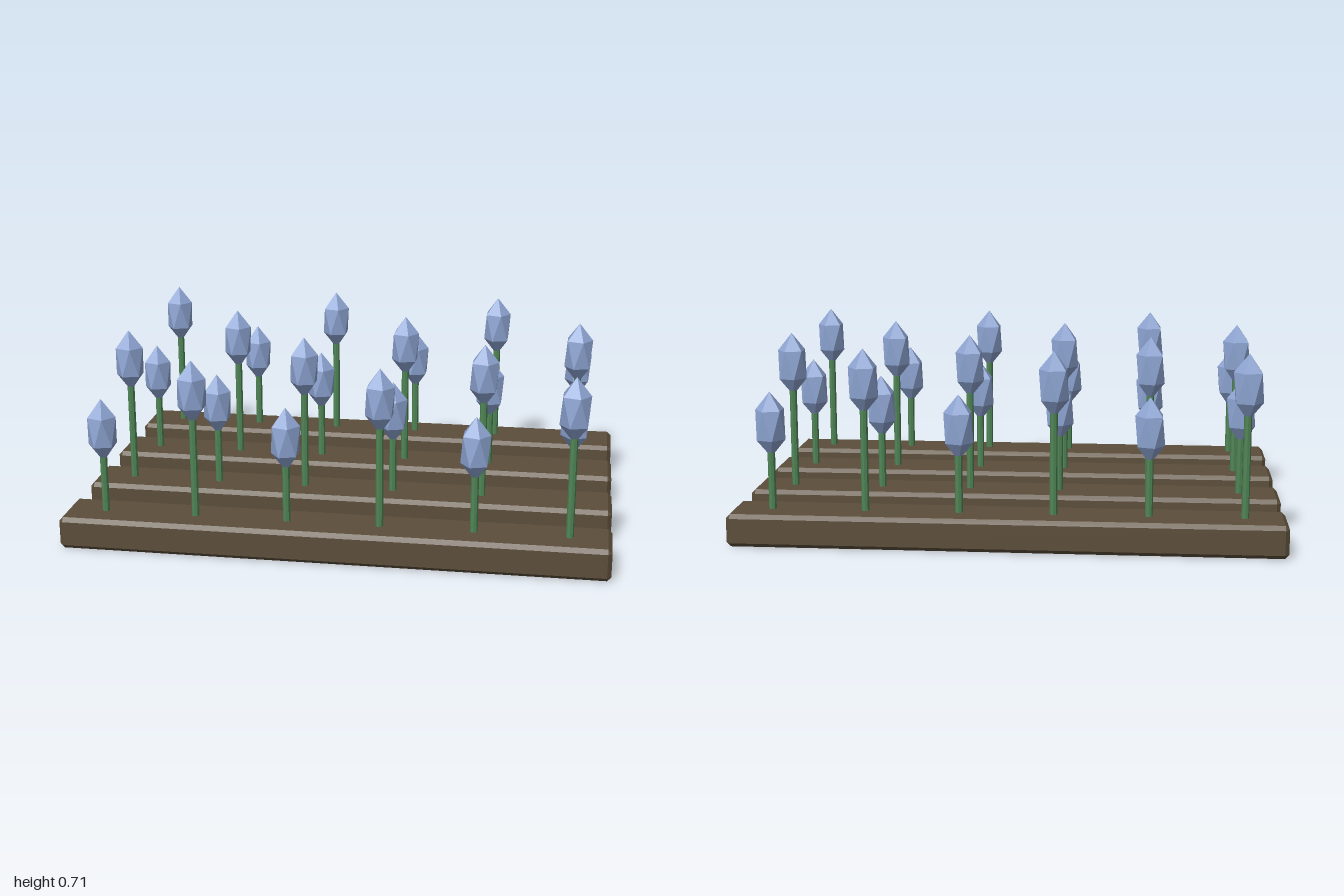
import * as THREE from 'three';
import { ConvexGeometry } from 'three/addons/geometries/ConvexGeometry.js';

const material = (color) => new THREE.MeshStandardMaterial({ color, flatShading: true });

// Box with all edges chamfered: each corner becomes three points
function chamferedBox(w, h, d, c) {
  const half = [w / 2, h / 2, d / 2];
  const points = [];
  for (const sx of [-1, 1]) for (const sy of [-1, 1]) for (const sz of [-1, 1]) {
    for (let axis = 0; axis < 3; axis++) {
      const p = half.map((s, i) => (i === axis ? s : s - c));
      points.push(new THREE.Vector3(p[0] * sx, p[1] * sy, p[2] * sz));
    }
  }
  return new ConvexGeometry(points);
}

// Icosahedron standing on a corner, stretched to twice its height
function budGeometry(radius) {
  const g = new THREE.IcosahedronGeometry(radius, 0);
  g.rotateX(-Math.atan((1 + Math.sqrt(5)) / 2));
  g.rotateY(Math.PI / 2);
  g.scale(1, 2, 1);
  return g;
}

export function createModel() {
  const model = new THREE.Group();
  model.name = 'flowerField';

  const soil = material(0x5c4e3a);
  const green = material(0x4f8555);
  const blue = material(0x8fa6d4);

  const bedHeight = 0.12, rowGap = 0.367, plantGap = 0.34;
  const bed = chamferedBox(2, bedHeight, 0.217, 0.015);
  const bud = budGeometry(0.06);

  for (let row = 0; row < 4; row++) {
    const rowGroup = new THREE.Group();
    rowGroup.name = `row${row + 1}`;
    rowGroup.position.z = (1.5 - row) * rowGap;
    model.add(rowGroup);

    // Soil bed
    const bedMesh = new THREE.Mesh(bed, soil);
    bedMesh.name = 'bed';
    bedMesh.position.y = bedHeight / 2;
    rowGroup.add(bedMesh);

    // Short and tall flowers alternate like a checkerboard
    for (let col = 0; col < 6; col++) {
      const budY = (row + col) % 2 ? 0.59 : 0.43;
      const flower = new THREE.Group();
      flower.name = 'flower';
      flower.position.x = (col - 2.5) * plantGap;

      const bottom = bedHeight - 0.02, top = budY - 0.06;
      const stem = new THREE.Mesh(
        new THREE.CylinderGeometry(0.014, 0.014, top - bottom, 8), green);
      stem.name = 'stem';
      stem.position.y = (top + bottom) / 2;

      const budMesh = new THREE.Mesh(bud, blue);
      budMesh.name = 'bud';
      budMesh.position.y = budY;

      flower.add(stem, budMesh);
      rowGroup.add(flower);
    }
  }
  return model;
}
